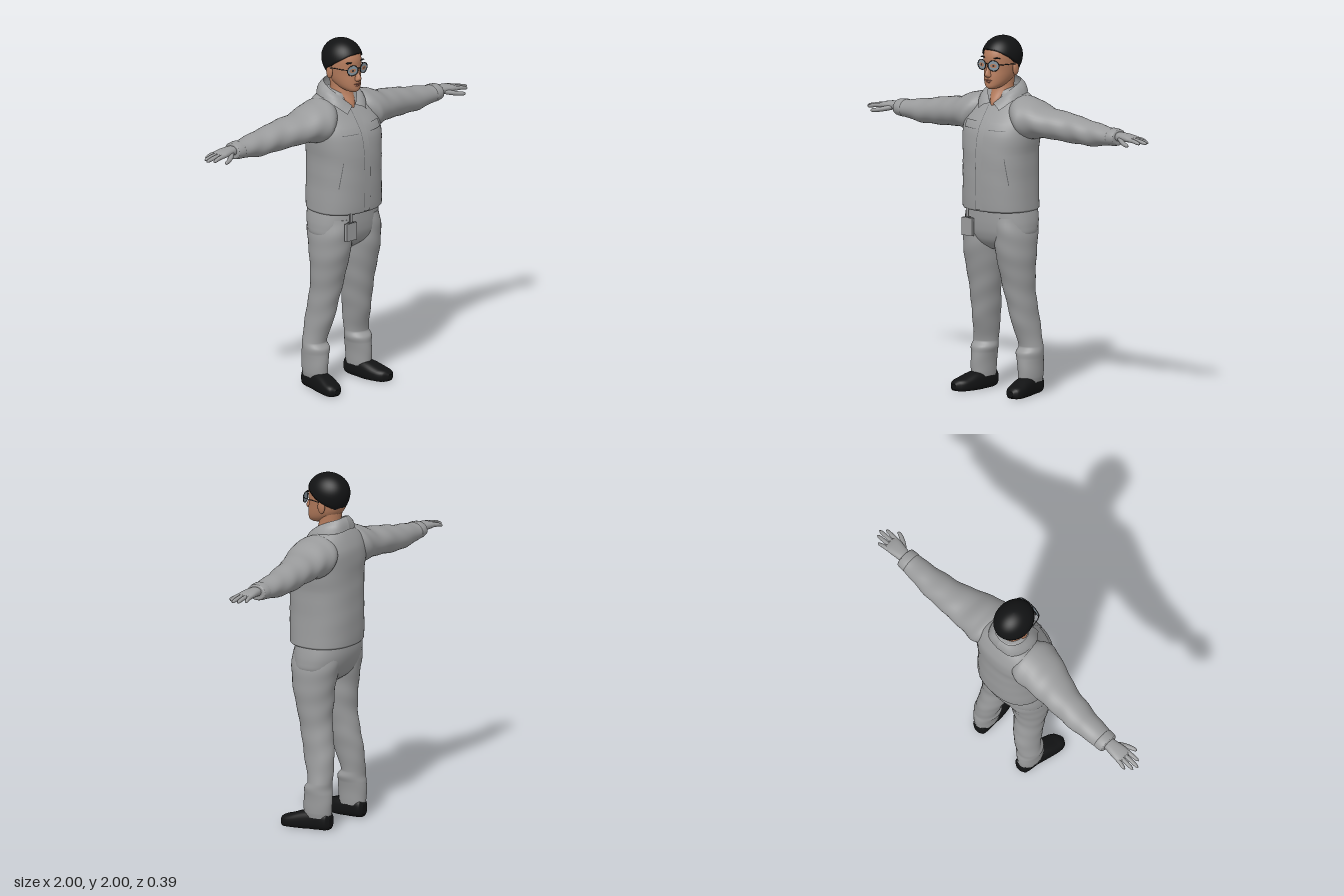
import * as THREE from 'three';

const mat = (name, color, extra = {}) => Object.assign(new THREE.MeshStandardMaterial({ color, ...extra }), { name });

// Values of a section table at position t (smooth Hermite interpolation, first column is t)
function at(rows, t) {
  const n = rows.length;
  let i = 0;
  while (i < n - 2 && t > rows[i + 1][0]) i++;
  const A = rows[i], B = rows[i + 1], h = B[0] - A[0], u = (t - A[0]) / h;
  const slope = (j, k) => {
    const p = rows[Math.max(j - 1, 0)], q = rows[Math.min(j + 1, n - 1)];
    return (q[k] - p[k]) / (q[0] - p[0]);
  };
  return A.map((a, k) => k === 0 ? t :
    a * (1 + 2 * u) * (1 - u) ** 2 + B[k] * u * u * (3 - 2 * u) +
    h * (slope(i, k) * u * (1 - u) ** 2 + slope(i + 1, k) * u * u * (u - 1)));
}

// Surface from a grid of points f(row, column); closed wraps the columns, caps fills both ends
function grid(rows, cols, f, { closed = false, flip = false, caps = false } = {}) {
  const pos = [], idx = [], stride = closed ? cols : cols + 1;
  for (let i = 0; i <= rows; i++) for (let j = 0; j < stride; j++) pos.push(...f(i, j));
  const tri = (a, b, c) => flip ? idx.push(a, c, b) : idx.push(a, b, c);
  for (let i = 0; i < rows; i++) for (let j = 0; j < cols; j++) {
    const a = i * stride + j, b = i * stride + (j + 1) % stride;
    tri(a, b, a + stride);
    tri(b, b + stride, a + stride);
  }
  if (caps) for (const end of [0, rows]) {
    const base = pos.length / 3, mid = [0, 0, 0];
    for (let j = 0; j < cols; j++) {
      const p = f(end, j);
      pos.push(...p);
      p.forEach((v, k) => { mid[k] += v / cols; });
    }
    pos.push(...mid);
    for (let j = 0; j < cols; j++) {
      const a = base + j, b = base + (j + 1) % cols;
      end ? tri(base + cols, a, b) : tri(base + cols, b, a);
    }
  }
  const g = new THREE.BufferGeometry();
  g.setAttribute('position', new THREE.Float32BufferAttribute(pos, 3));
  g.setIndex(idx);
  g.computeVertexNormals();
  return g;
}

// Loft along an axis; each row is [t, centreA, centreB, radiusA, radiusB]
const place = { x: (t, a, b) => [t, a, b], y: (t, a, b) => [a, t, b], z: (t, a, b) => [a, b, t] };
function loft(axis, rows, { e = 2, n = 32, sub = 4, fold = 0, floor = -1 } = {}) {
  const ts = [];
  for (let i = 0; i < rows.length - 1; i++) for (let s = 0; s < sub; s++)
    ts.push(rows[i][0] + (rows[i + 1][0] - rows[i][0]) * s / sub);
  ts.push(rows[rows.length - 1][0]);
  const secs = ts.map(t => at(rows, t));
  const pw = v => Math.sign(v) * Math.abs(v) ** (2 / e);
  return grid(ts.length - 1, n, (i, j) => {
    const [t, a, b, ra, rb] = secs[i], th = j / n * Math.PI * 2;
    const k = 1 + fold * (Math.sin(48 * t + 2.5 * Math.cos(th)) + 0.6 * Math.sin(31 * t - 2 * th));
    const p = place[axis](t, a + Math.max(ra, 0.001) * k * pw(Math.cos(th)), b + Math.max(rb, 0.001) * k * pw(Math.sin(th)));
    p[1] = Math.max(p[1], floor);
    return p;
  }, { closed: true, caps: true, flip: axis === 'y' });
}

// Mirror image across x = 0 with the corner order restored
function mirror(geo) {
  const g = geo.clone().scale(-1, 1, 1), ix = g.index.array;
  for (let i = 0; i < ix.length; i += 3) [ix[i], ix[i + 1]] = [ix[i + 1], ix[i]];
  g.computeVertexNormals();
  return g;
}

const ball = (x, y, z, rx, ry, rz) => new THREE.SphereGeometry(1, 20, 14).scale(rx, ry, rz).translate(x, y, z);

export function createModel() {
  const model = new THREE.Group();
  model.name = 'worker';
  const cloth = mat('grey cloth', 0x9a9b9c, { side: THREE.DoubleSide });
  const skin = mat('skin', 0xb57c5d);
  const black = mat('black hair and shoes', 0x121314);
  const lips = mat('lips', 0x9c6250);
  const lens = mat('lens', 0x8796a0, { side: THREE.DoubleSide });
  const frame = mat('glasses frame', 0x2e3033);
  const seam = mat('seam', 0x626466, { side: THREE.DoubleSide });
  const add = (name, geo, m) => {
    const mesh = new THREE.Mesh(geo, m);
    mesh.name = name;
    model.add(mesh);
  };
  const pair = (name, geo, m) => {
    add(name + 'Left', geo, m);
    add(name + 'Right', mirror(geo), m);
  };

  // Jacket body
  const E = 2.35;
  const torso = [[1.035, 0, 0, 0.207, 0.178], [1.045, 0, 0, 0.213, 0.185], [1.2, 0, 0, 0.208, 0.19],
    [1.35, 0, 0, 0.21, 0.187], [1.45, 0, -0.005, 0.222, 0.18], [1.52, 0, -0.02, 0.225, 0.168],
    [1.58, 0, -0.04, 0.215, 0.142], [1.63, 0, -0.05, 0.188, 0.115], [1.67, 0, -0.05, 0.14, 0.095],
    [1.7, 0, -0.045, 0.085, 0.078], [1.715, 0, -0.042, 0.06, 0.06]];
  add('jacket', loft('y', torso, { e: E, n: 56, fold: 0.004 }), cloth);

  // Thin plates lying on the jacket front
  const patch = (x0, x1, y0, y1, off, lean = 0) => grid(10, 6, (i, j) => {
    const y = y0 + (y1 - y0) * i / 10, x = x0 + (x1 - x0) * j / 6 + lean * i / 10;
    const [, , cz, rx, rz] = at(torso, y);
    return [x, y, cz + off + rz * (1 - Math.abs(x / rx) ** E) ** (1 / E)];
  });
  add('placket', patch(-0.022, 0.018, 1.045, 1.62, 0.005), cloth);
  add('placketSeam', patch(-0.025, -0.022, 1.045, 1.62, 0.005), seam);
  pair('pocketFlap', patch(0.045, 0.145, 1.495, 1.535, 0.006), cloth);
  pair('pocketFlapSeam', patch(0.045, 0.145, 1.492, 1.495, 0.006), seam);
  pair('sidePocketSeam', patch(0.165, 0.168, 1.19, 1.34, 0.004, -0.02), seam);

  // Folded collar
  const curve = pts => new THREE.CatmullRomCurve3(pts.map(p => new THREE.Vector3(...p)));
  const top = curve([[0, 1.765, -0.122], [0.055, 1.755, -0.105], [0.083, 1.735, -0.05], [0.07, 1.695, 0.025], [0.012, 1.63, 0.082]]);
  const fall = curve([[0, 1.695, -0.15], [0.085, 1.685, -0.13], [0.128, 1.675, -0.05], [0.12, 1.65, 0.04], [0.072, 1.598, 0.106]]);
  pair('collar', grid(4, 20, (i, j) => {
    const a = top.getPoint(j / 20), u = i / 4, p = a.clone().lerp(fall.getPoint(j / 20), u);
    const bulge = 0.012 * Math.sin(u * Math.PI);
    return [p.x * (1 + bulge * 4), p.y + bulge * 0.6, p.z + bulge * 0.5 * Math.sign(p.z + 0.04)];
  }), cloth);

  // Sleeves and cuffs
  pair('sleeve', loft('x', [[0.09, 1.575, -0.045, 0.085, 0.1], [0.15, 1.568, -0.037, 0.107, 0.132],
    [0.2, 1.553, -0.032, 0.11, 0.143], [0.3, 1.538, -0.042, 0.087, 0.122], [0.45, 1.52, -0.064, 0.079, 0.096],
    [0.6, 1.503, -0.072, 0.068, 0.079], [0.7, 1.502, -0.072, 0.053, 0.066], [0.765, 1.503, -0.072, 0.044, 0.06],
    [0.785, 1.503, -0.072, 0.04, 0.056]], { n: 36, sub: 8, fold: 0.022 }), cloth);
  pair('cuff', loft('x', [[0.735, 1.503, -0.072, 0.044, 0.06], [0.742, 1.503, -0.072, 0.05, 0.064],
    [0.785, 1.503, -0.072, 0.045, 0.059], [0.79, 1.503, -0.072, 0.038, 0.052]]), cloth);

  // Hands: palm, four fingers, thumb
  pair('palm', loft('x', [[0.77, 1.508, -0.07, 0.026, 0.034], [0.82, 1.51, -0.07, 0.024, 0.04],
    [0.87, 1.508, -0.068, 0.02, 0.047], [0.9, 1.505, -0.068, 0.014, 0.045], [0.912, 1.503, -0.068, 0.007, 0.038]], { e: 2.4, n: 24 }), cloth);
  [[-0.033, -0.026, 0.975], [-0.057, -0.055, 1.0], [-0.081, -0.083, 0.988], [-0.103, -0.112, 0.955]].forEach(([z0, z1, tip], i) =>
    pair('finger' + (i + 1), loft('x', [[0.88, 1.506, z0, 0.012, 0.0125], [(0.88 + tip) / 2, 1.502, (z0 + z1) / 2, 0.0115, 0.0115],
      [tip - 0.012, 1.494, z1, 0.009, 0.009], [tip, 1.492, z1, 0.002, 0.002]], { n: 12 }), cloth));
  pair('thumb', loft('x', [[0.81, 1.502, -0.05, 0.014, 0.018], [0.85, 1.492, -0.02, 0.014, 0.018],
    [0.89, 1.484, 0.004, 0.012, 0.013], [0.915, 1.481, 0.012, 0.009, 0.009], [0.923, 1.48, 0.013, 0.002, 0.002]], { n: 14 }), cloth);

  // Trousers
  add('trouserSeat', loft('y', [[0.81, 0, 0.005, 0.04, 0.06], [0.85, 0, 0.003, 0.15, 0.115], [0.9, 0, 0, 0.214, 0.142],
    [0.95, 0, -0.006, 0.22, 0.156], [1.0, 0, -0.01, 0.214, 0.162], [1.06, 0, -0.01, 0.2, 0.162]], { e: 2.3, n: 48 }), cloth);
  pair('trouserLeg', loft('y', [[0.07, 0.167, -0.055, 0.055, 0.08], [0.1, 0.168, -0.055, 0.059, 0.085],
    [0.2, 0.165, -0.056, 0.068, 0.084], [0.235, 0.161, -0.054, 0.073, 0.081], [0.27, 0.16, -0.066, 0.069, 0.069],
    [0.4, 0.141, -0.046, 0.072, 0.089], [0.5, 0.13, -0.029, 0.079, 0.092], [0.6, 0.122, -0.01, 0.087, 0.095],
    [0.7, 0.118, 0, 0.099, 0.108], [0.8, 0.115, 0.008, 0.108, 0.124], [0.9, 0.111, 0.002, 0.108, 0.142],
    [1.0, 0.1, -0.005, 0.105, 0.145]], { n: 36, sub: 7, fold: 0.013 }), cloth);

  // Shoes, flat on the ground and turned out
  pair('shoe', loft('z', [[-0.14, 0.162, 0.045, 0.022, 0.03], [-0.125, 0.163, 0.05, 0.043, 0.05], [-0.05, 0.168, 0.05, 0.05, 0.058],
    [0.03, 0.178, 0.04, 0.058, 0.056], [0.1, 0.192, 0.03, 0.058, 0.042], [0.14, 0.2, 0.027, 0.044, 0.033],
    [0.16, 0.204, 0.025, 0.014, 0.016]], { e: 2.6, floor: 0 }), black);

  // Badge hanging from the jacket hem
  add('badge', new THREE.BoxGeometry(0.074, 0.1, 0.02).translate(-0.103, 0.938, 0.163), cloth);
  add('badgeStrap', new THREE.BoxGeometry(0.016, 0.06, 0.006).translate(-0.103, 1.015, 0.165), cloth);
  add('badgeClip', new THREE.BoxGeometry(0.03, 0.006, 0.022).translate(-0.103, 0.99, 0.163), seam);

  // Neck and head
  add('neck', loft('y', [[1.6, 0, 0.03, 0.01, 0.05], [1.64, 0, 0.012, 0.042, 0.064], [1.69, 0, -0.015, 0.06, 0.065],
    [1.73, 0, -0.022, 0.058, 0.062], [1.8, 0, -0.03, 0.06, 0.065]]), skin);
  add('head', loft('y', [[1.712, 0, 0.068, 0.02, 0.028], [1.722, 0, 0.058, 0.038, 0.052], [1.745, 0, 0.036, 0.058, 0.077],
    [1.78, 0, 0.01, 0.072, 0.102], [1.82, 0, -0.005, 0.08, 0.112], [1.86, 0, -0.01, 0.085, 0.118],
    [1.9, 0, -0.012, 0.086, 0.119], [1.94, 0, -0.015, 0.078, 0.104], [1.97, 0, -0.015, 0.05, 0.07], [1.985, 0, -0.015, 0.02, 0.03]],
    { e: 2.15, n: 40 }), skin);
  add('nose', loft('y', [[1.776, 0, 0.107, 0.006, 0.008], [1.786, 0, 0.112, 0.019, 0.018], [1.8, 0, 0.111, 0.016, 0.024],
    [1.83, 0, 0.107, 0.009, 0.014], [1.865, 0, 0.102, 0.008, 0.008]], { n: 20 }), skin);
  pair('ear', ball(0.088, 1.822, -0.022, 0.012, 0.038, 0.023).rotateZ(0), skin);
  add('upperLip', ball(0, 1.762, 0.108, 0.024, 0.005, 0.008), lips);
  add('lowerLip', ball(0, 1.753, 0.107, 0.02, 0.006, 0.008), lips);
  pair('eyebrow', ball(0.043, 1.888, 0.091, 0.026, 0.004, 0.012), black);

  // Hair: a dome cut off along the hairline
  const hairline = [1.932, 1.925, 1.895, 1.855, 1.825, 1.802, 1.79].map((y, i) => [i * Math.PI / 6, y]);
  add('hair', grid(17, 48, (i, j) => {
    const a = j / 48 * Math.PI * 2, h = at(hairline, Math.min(a, Math.PI * 2 - a))[1];
    const y = 2 - (2 - h) * Math.min(i / 16, 1) ** 2, d = (y - 1.89) / 0.11;
    const s = (d > 0 ? Math.sqrt(1 - Math.min(d * d, 1)) : 1 - 0.4 * d * d) * (i > 16 ? 0.75 : 1);
    return [0.105 * s * Math.sin(a), y, -0.013 + 0.125 * s * Math.cos(a)];
  }, { closed: true, flip: true }), black);

  // Glasses with eyes seen in the lenses
  const onFace = (g, dz = 0) => g.translate(0, 0, dz).rotateY(0.22).translate(0.042, 1.848, 0.116);
  pair('lens', onFace(new THREE.CircleGeometry(1, 28).scale(0.034, 0.029, 1)), lens);
  pair('lensRim', onFace(new THREE.TorusGeometry(1, 0.07, 8, 32).scale(0.034, 0.029, 0.034)), frame);
  pair('eyelid', onFace(new THREE.CircleGeometry(1, 24).scale(0.021, 0.011, 1), 0.001), skin);
  pair('iris', onFace(new THREE.CircleGeometry(0.0065, 16), 0.002), frame);
  add('noseBridge', new THREE.TubeGeometry(curve([[-0.012, 1.853, 0.121], [0, 1.858, 0.125], [0.012, 1.853, 0.121]]), 8, 0.0025, 6), frame);
  pair('templeArm', new THREE.TubeGeometry(curve([[0.074, 1.856, 0.109], [0.086, 1.855, 0.085], [0.092, 1.852, 0.03], [0.093, 1.845, -0.03]]), 12, 0.0025, 6), frame);

  return model;
}
